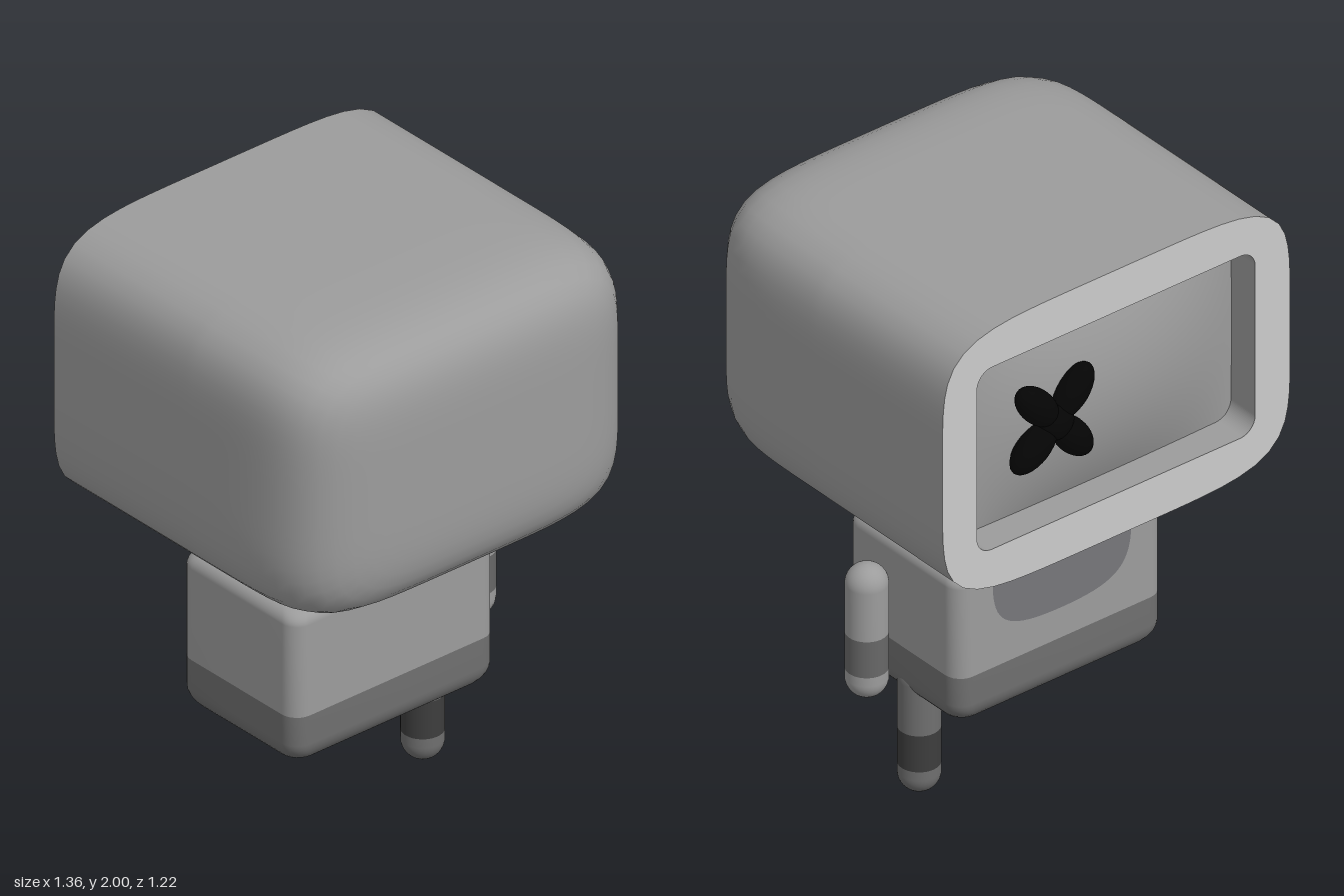
import * as THREE from 'three';

const mat = (color = 0xcccccc) => new THREE.MeshStandardMaterial({ color });
const PALE = mat(), SHELL = mat(0x9c9c9c), LOWER = mat(0x6f6f6f), BIB = mat(0x76767a);
const BAND = mat(0x676767), DARK = mat(0x3d3d3d), BLACK = mat(0x050505);

function add(parent, name, geometry, material) {
  const mesh = new THREE.Mesh(geometry, material);
  mesh.name = name;
  parent.add(mesh);
  return mesh;
}

// Smooth skin through closed rings of points
function loft(rings) {
  const n = rings[0].length, index = [];
  for (let i = 0; i < rings.length - 1; i++) {
    for (let j = 0; j < n; j++) {
      const k = (j + 1) % n, a = i * n + j, b = i * n + k;
      index.push(a, b, a + n, b, b + n, a + n);
    }
  }
  const g = new THREE.BufferGeometry().setFromPoints(rings.flat());
  g.setIndex(index);
  g.computeVertexNormals();
  return g;
}

// Radius of a unit superellipse in direction a
const superRadius = (a, n) =>
  Math.pow(Math.abs(Math.cos(a)) ** n + Math.abs(Math.sin(a)) ** n, -1 / n);

function headSection(scale) {
  return Array.from({ length: 80 }, (_, j) => {
    const a = (j / 80) * Math.PI * 2, r = superRadius(a, 5.4) * scale;
    return new THREE.Vector2(0.68 * r * Math.cos(a), 0.481 * r * Math.sin(a));
  });
}

function roundedRect(hw, hh, r, Type = THREE.Shape) {
  const s = new Type();
  s.absarc(hw - r, hh - r, r, 0, Math.PI / 2);
  s.absarc(r - hw, hh - r, r, Math.PI / 2, Math.PI);
  s.absarc(r - hw, r - hh, r, Math.PI, Math.PI * 1.5);
  s.absarc(hw - r, r - hh, r, Math.PI * 1.5, Math.PI * 2);
  return s;
}

function makeHead() {
  const head = new THREE.Group();
  head.name = 'head';
  head.position.y = 1.519;

  // Casing: straight at the open end, rounded off at the closed end
  const rings = [-0.6, -0.3].map(z =>
    headSection(1).map(p => new THREE.Vector3(p.x, p.y, z)));
  for (let i = 0; i <= 24; i++) {
    const a = (i / 24) * Math.PI / 2, r = superRadius(a, 5.4);
    const z = 0.61 * r * Math.sin(a);
    rings.push(headSection(Math.max(0, r * Math.cos(a))).map(p => new THREE.Vector3(p.x, p.y, z)));
  }
  add(head, 'casing', loft(rings), SHELL);

  // Flat bezel around the screen opening
  const bezel = new THREE.Shape(headSection(1));
  bezel.holes.push(roundedRect(0.545, 0.33, 0.06, THREE.Path));
  add(head, 'bezel', new THREE.ShapeGeometry(bezel, 10).rotateY(Math.PI).translate(0, 0, -0.6), PALE);

  // Walls of the recess
  const wall = roundedRect(0.59, 0.375, 0.08);
  wall.holes.push(roundedRect(0.545, 0.33, 0.06, THREE.Path));
  add(head, 'recessWall', new THREE.ExtrudeGeometry(wall,
    { depth: 0.13, bevelEnabled: false, curveSegments: 10 }).translate(0, 0, -0.598), SHELL);

  // Bulging screen
  const screen = new THREE.PlaneGeometry(1.12, 0.7, 28, 20).rotateY(Math.PI);
  const pos = screen.attributes.position;
  for (let i = 0; i < pos.count; i++) {
    const u = pos.getX(i) / 0.56, v = pos.getY(i) / 0.35;
    pos.setZ(i, -0.48 - 0.08 * (1 - u * u) * (1 - v * v));
  }
  screen.computeVertexNormals();
  add(head, 'screen', screen, SHELL);

  // Crossed eye made of four lobes
  const eye = new THREE.Group();
  eye.name = 'crossEye';
  eye.position.set(0.21, 0.005, -0.562);
  for (const angle of [0.84, 2.29, -0.66, -2.26]) {
    const lobe = add(eye, 'eyeLobe', new THREE.SphereGeometry(1, 24, 16).scale(0.1, 0.054, 0.05), BLACK);
    lobe.position.set(0.105 * Math.cos(angle), 0.105 * Math.sin(angle), 0);
    lobe.rotation.z = angle;
  }
  add(eye, 'eyeCentre', new THREE.SphereGeometry(0.066, 20, 14).scale(1, 1, 0.75), BLACK);
  head.add(eye);
  return head;
}

// Half of the body from the seam to one end; dir is 1 for up, -1 for down
function bodyHalf(dir, height, edge) {
  const R = 0.06, hw = 0.407, hd = 0.27;
  const ring = (y, inset) => {
    const points = [];
    for (let q = 0; q < 4; q++) {
      for (let i = 0; i <= 6; i++) {
        const a = (q + i / 6) * Math.PI / 2;
        const sx = q === 0 || q === 3 ? 1 : -1, sz = q < 2 ? 1 : -1;
        points.push(new THREE.Vector3(
          sx * (hw - inset - R) + R * Math.cos(a), dir * y,
          -dir * (sz * (hd - inset - R) + R * Math.sin(a))));
      }
    }
    return points;
  };
  const rings = [ring(0, 0)];
  for (let i = 0; i <= 8; i++) {
    const a = (i / 8) * Math.PI / 2;
    rings.push(ring(height - edge + edge * Math.sin(a), edge * (1 - Math.cos(a))));
  }
  rings.push(rings[0].map(() => new THREE.Vector3(0, dir * height, 0)));
  return loft(rings);
}

function makeBody() {
  const body = new THREE.Group();
  body.name = 'body';
  body.position.set(0, 0.54, -0.068);
  add(body, 'upperBody', bodyHalf(1, 0.365, 0.045), SHELL);
  add(body, 'lowerBody', bodyHalf(-1, 0.187, 0.085), LOWER);

  // U-shaped patch on the face side
  const bib = new THREE.Shape();
  bib.moveTo(-0.27, 0.32);
  bib.lineTo(-0.27, 0.27);
  bib.bezierCurveTo(-0.26, 0.15, -0.2, 0.11, 0, 0.11);
  bib.bezierCurveTo(0.2, 0.11, 0.26, 0.15, 0.27, 0.27);
  bib.lineTo(0.27, 0.32);
  add(body, 'bib', new THREE.ShapeGeometry(bib, 16).rotateY(Math.PI).translate(0, 0, -0.272), BIB);
  return body;
}

// Capsule limb in three sections: tip, band and upper part
function makeLimb(name, x, y, endMat, bandMat) {
  const limb = new THREE.Group(), r = 0.068, h = 0.47, b0 = 0.1, b1 = 0.23;
  limb.name = name;
  limb.position.set(x, y, -0.072);
  const dome = Array.from({ length: 11 }, (_, i) => {
    const a = (i / 10) * Math.PI / 2;
    return new THREE.Vector2(r * Math.sin(a), r * (1 - Math.cos(a)));
  });
  const at = v => new THREE.Vector2(r, v);
  const top = dome.map(p => new THREE.Vector2(p.x, h - p.y)).reverse();
  const lathe = points => new THREE.LatheGeometry(points, 32);
  add(limb, name + 'Tip', lathe([...dome, at(b0)]), endMat);
  add(limb, name + 'Band', lathe([at(b0), at(b1)]), bandMat);
  add(limb, name + 'Upper', lathe([at(b1), ...top]), endMat);
  return limb;
}

export function createModel() {
  const model = new THREE.Group();
  model.name = 'screenHeadRobot';
  model.add(
    makeHead(),
    makeBody(),
    makeLimb('arm', 0.545, 0.425, SHELL, BAND),
    makeLimb('leg', 0.34, 0, LOWER, DARK));
  return model;
}
